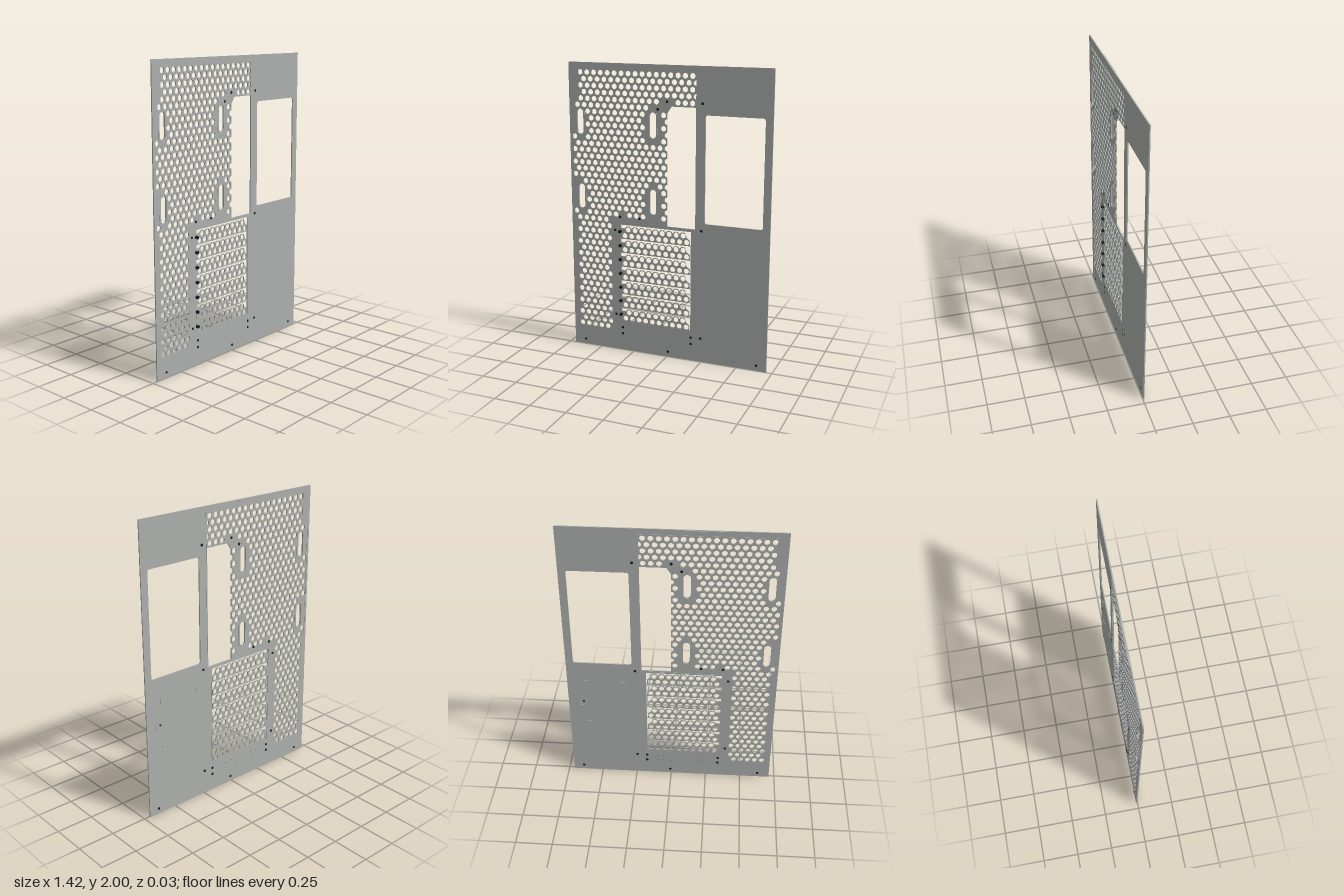
import * as THREE from 'three';

const BACK = -0.011, FRONT = -0.003;
const PITCH = 0.05, ROW = PITCH * Math.sqrt(3) / 2, R = 0.0185;

const metal = new THREE.MeshStandardMaterial({ color: 0xacb0ad });
metal.name = 'grey metal';
const black = new THREE.MeshStandardMaterial({ color: 0x1c1c1c });
black.name = 'black screws';

const v = (x, y) => new THREE.Vector2(x, y);
const pathOf = (pts) => new THREE.Path(pts);

// Round hole, cut off straight at the sides of its vent field
function holePath(cx, cy, minX = -9, maxX = 9) {
  const pts = [];
  for (let i = 0; i < 12; i++) {
    const a = (i + 0.5) / 12 * Math.PI * 2;
    pts.push(v(Math.min(maxX, Math.max(minX, cx + R * Math.cos(a))), cy + R * Math.sin(a)));
  }
  return pathOf(pts);
}

function roundedRect(x0, y0, x1, y1, r, seg = 6) {
  const pts = [];
  const corners = [[x1 - r, y1 - r], [x0 + r, y1 - r], [x0 + r, y0 + r], [x1 - r, y0 + r]];
  corners.forEach(([cx, cy], c) => {
    for (let i = 0; i <= seg; i++) {
      const a = (c + i / seg) * Math.PI / 2;
      pts.push(v(cx + r * Math.cos(a), cy + r * Math.sin(a)));
    }
  });
  return pts;
}

export function createModel() {
  const group = new THREE.Group();

  function add(name, geometry, material = metal) {
    const mesh = new THREE.Mesh(geometry, material);
    mesh.name = name;
    group.add(mesh);
    return mesh;
  }
  function sheet(name, shape, z0, z1) {
    const g = new THREE.ExtrudeGeometry(shape, { depth: z1 - z0, bevelEnabled: false, curveSegments: 8 });
    g.translate(0, 0, z0);
    return add(name, g);
  }
  function box(name, x0, x1, y0, y1, z0, z1) {
    const g = new THREE.BoxGeometry(x1 - x0, y1 - y0, z1 - z0);
    g.translate((x0 + x1) / 2, (y0 + y1) / 2, (z0 + z1) / 2);
    return add(name, g);
  }
  function stud(name, x, y, r, z0, z1) {
    const g = new THREE.CylinderGeometry(r, r, z1 - z0, 12);
    g.rotateX(Math.PI / 2);
    g.translate(x, y, (z0 + z1) / 2);
    return add(name, g, black);
  }

  // Fan mounting slots
  const slots = [[-0.63, 1.605], [-0.1, 1.605], [-0.63, 1.09], [-0.1, 1.09]];
  const nearSlot = (x, y) => slots.some(([sx, sy]) => {
    const dy = Math.max(0, Math.abs(y - sy) - 0.062);
    return Math.hypot(x - sx, dy) < 0.035 + R;
  });

  // Rivets on the rear face
  const rivets = [
    [0.243, 1.763], [0, 1.765], [-0.065, 1.712], [0.243, 0.925], [-0.2, 0.966], [-0.345, 0.966],
    [-0.383, 0.87], [-0.383, 0.26], [0.243, 0.17], [0.174, 0.166], [0.174, 0.12],
    [-0.335, 0.166], [-0.335, 0.12], [0.64, 0.038], [0.007, 0.036], [-0.627, 0.035],
  ];
  const nearRivet = (x, y) => rivets.some(([rx, ry]) => Math.hypot(x - rx, y - ry) < R + 0.009);

  // Main plate
  const plate = new THREE.Shape([v(-0.71, 0), v(0.71, 0), v(0.71, 2), v(-0.71, 2)]);
  plate.holes.push(pathOf(roundedRect(0.265, 0.975, 0.66, 1.69, 0.015)));
  plate.holes.push(pathOf([v(-0.34, 0.215), v(0.17, 0.215), v(0.17, 0.912), v(-0.34, 0.912)]));
  for (const [x, y] of slots) {
    plate.holes.push(pathOf(roundedRect(x - 0.023, y - 0.085, x + 0.023, y + 0.085, 0.022)));
  }

  // Vent holes; those on the edge of the tall opening become notches in it
  const opening = [v(0, 0.932), v(0.2, 0.932), v(0.2, 1.735), v(0.03, 1.735), v(0, 1.69)];
  for (let j = 0; j <= 41; j++) {
    const y = 1.935 - j * ROW;
    const shift = j % 2 ? 0 : -PITCH / 2;
    let minX = -0.64, maxX = 0.2;
    if (y < 0.96) { minX = -0.67; maxX = -0.41; }
    else if (y < 1.755) { minX = -0.69; maxX = -0.015; }
    for (let k = -15; k <= 5; k++) {
      const x = k * PITCH + shift;
      if (x < minX - 1e-4 || x > maxX + 1e-4 || nearSlot(x, y) || nearRivet(x, y)) continue;
      plate.holes.push(holePath(x, y, minX, maxX === -0.015 ? -0.003 : maxX));
    }
    if (j % 2 && y > 0.96 && y < 1.66) {
      for (let i = 0; i <= 6; i++) {
        const a = Math.PI / 2 + i / 6 * Math.PI;
        opening.push(v(Math.min(0, R * Math.cos(a)), y + R * Math.sin(a)));
      }
    }
  }
  plate.holes.push(pathOf(opening));
  sheet('backPlate', plate, BACK, FRONT);

  // Raised rims of the mounting slots
  for (const [x, y] of slots) {
    const rim = new THREE.Shape(roundedRect(x - 0.035, y - 0.097, x + 0.035, y + 0.097, 0.034));
    rim.holes.push(pathOf(roundedRect(x - 0.023, y - 0.085, x + 0.023, y + 0.085, 0.022)));
    sheet('slotRim', rim, BACK - 0.002, FRONT + 0.002);
  }

  // Seven vented slot covers with scalloped tops, dividers and screws
  for (let i = 0; i < 7; i++) {
    const y = 0.215 + i * 0.1;
    const low = y + 0.022, high = low + ROW;
    const pts = [v(-0.345, y), v(0.163, y), v(0.163, low + 0.015), v(0.14, high - 0.012)];
    for (let k = 8; k >= 0; k--) {
      const x = -0.285 + k * PITCH;
      pts.push(v(x + 0.012, high + 0.022), v(x - 0.012, high + 0.022));
      if (k > 0) pts.push(v(x - 0.025, high + 0.008));
    }
    pts.push(v(-0.31, high + 0.008), v(-0.345, high + 0.008));
    const cover = new THREE.Shape(pts);
    for (let k = 0; k < 10; k++) {
      cover.holes.push(holePath(-0.31 + k * PITCH, low));
      if (k < 9) cover.holes.push(holePath(-0.285 + k * PITCH, high));
    }
    sheet('slotCover', cover, BACK + 0.001, FRONT + 0.001);
    box('slotDivider', -0.34, 0.172, y - 0.002, y + 0.002, BACK, FRONT);
    stud('coverScrew', -0.343, y + 0.05, 0.011, FRONT, 0.013);
  }

  // Rivets and tiny rear dots
  for (const [x, y] of rivets) stud('rivet', x, y, 0.009, BACK - 0.003, FRONT + 0.001);
  for (let i = 0; i < 9; i++) {
    for (const y of [0.12, 0.165]) stud('rearDot', 0.1 - i * 0.047, y, 0.002, BACK - 0.001, BACK + 0.001);
  }

  // Thin rear beads framing the vent fields and openings
  const z0 = BACK - 0.002, z1 = BACK + 0.001;
  box('rearBead', -0.645, 0.208, 1.957, 1.963, z0, z1);
  box('rearBead', 0.202, 0.208, 0.92, 1.963, z0, z1);
  box('rearBead', -0.647, -0.641, 1.755, 1.963, z0, z1);
  box('rearBead', -0.698, -0.692, 0.94, 1.755, z0, z1);
  box('rearBead', -0.34, 0.208, 0.917, 0.925, z0, z1);
  box('rearBead', -0.348, -0.342, 0.21, 0.925, z0, z1);
  box('rearBead', 0.172, 0.178, 0.21, 0.92, z0, z1);
  box('topLip', -0.355, -0.06, 1.985, 1.998, -0.0155, z1);

  // Corner tabs and curved mark around a centre dot on the rear
  for (const sx of [-1, 1]) {
    for (const sy of [-1, 1]) {
      const x = 0.452 + sx * 0.126, y = 0.643 + sy * 0.18;
      box('cornerTab', x - 0.016, x + 0.016, y - 0.003, y + 0.003, BACK - 0.003, z1);
      const e = x + sx * 0.014;
      box('cornerTab', e - 0.003, e + 0.003, Math.min(y, y - sy * 0.03), Math.max(y, y - sy * 0.03), BACK - 0.003, z1);
    }
  }
  const arc = new THREE.TorusGeometry(0.036, 0.003, 6, 16, Math.PI);
  arc.rotateZ(-Math.PI / 2);
  arc.translate(0.605, 0.645, BACK);
  add('curvedMark', arc);
  stud('centreDot', 0.605, 0.645, 0.007, BACK - 0.003, z1);

  return group;
}
